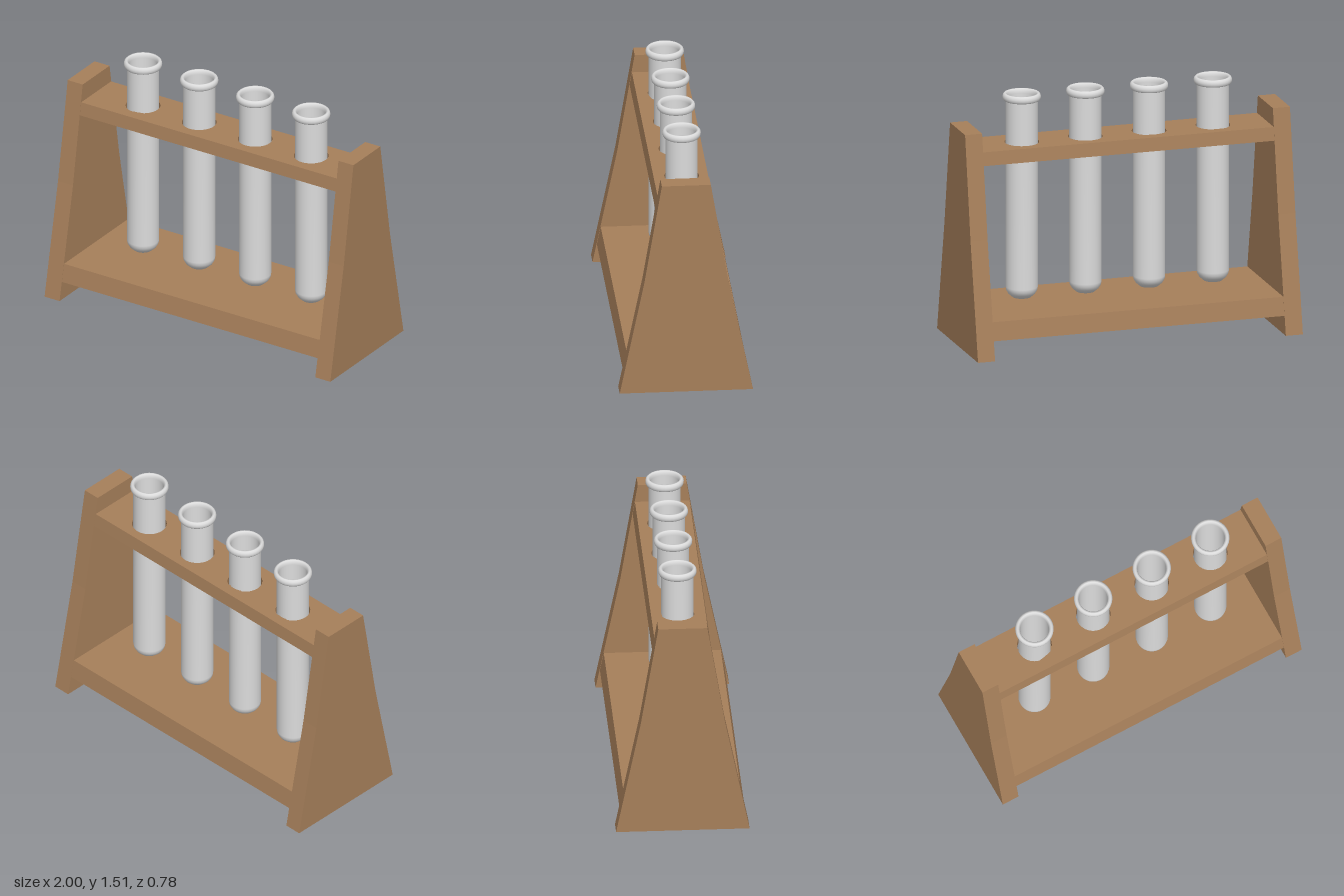
import * as THREE from 'three';

const wood = new THREE.MeshStandardMaterial({ color: 0xa67f5a });
wood.name = 'wood';
const glass = new THREE.MeshStandardMaterial({ color: 0xdcdcdc });
glass.name = 'pale glass';

const TUBE_X = [-0.57, -0.177, 0.215, 0.607];
const TUBE_Z = -0.005;

// Half depth of the rack at a given height
function halfDepth(y) {
  return y < 0.7 ? 0.392 - (0.144 * y) / 0.7 : 0.248 - (0.104 * (y - 0.7)) / 0.62;
}

// Tapered end panel
function endPanel(x0, x1) {
  const ys = [0, 0.7, 1.32];
  const points = [
    ...ys.map((y) => new THREE.Vector2(-halfDepth(y), y)),
    ...ys.slice().reverse().map((y) => new THREE.Vector2(halfDepth(y), y)),
  ];
  const geo = new THREE.ExtrudeGeometry(new THREE.Shape(points), { depth: x1 - x0, bevelEnabled: false });
  geo.rotateY(Math.PI / 2).translate(x0, 0, 0);
  return new THREE.Mesh(geo, wood);
}

// Horizontal board whose long edges follow the slope of the end panels
function board(y0, y1, holes) {
  const w = 0.895;
  const shape = new THREE.Shape([[-w, -1], [w, -1], [w, 1], [-w, 1]].map((p) => new THREE.Vector2(...p)));
  const depth = y1 - y0;
  for (const x of holes) {
    shape.holes.push(new THREE.Path().absarc(x, -TUBE_Z, 0.102, 0, Math.PI * 2, true));
  }
  const geo = new THREE.ExtrudeGeometry(shape, { depth, bevelEnabled: false, curveSegments: 20 });
  geo.rotateX(-Math.PI / 2).translate(0, y0, 0);
  const p = geo.attributes.position;
  for (let i = 0; i < p.count; i++) {
    const z = p.getZ(i);
    if (Math.abs(z) > 0.9) p.setZ(i, Math.sign(z) * (halfDepth(p.getY(i)) - 0.002));
  }
  geo.computeVertexNormals();
  return new THREE.Mesh(geo, wood);
}

// Hollow tube with a rounded foot and a rolled lip
function tubeGeometry() {
  const profile = [
    [0, 0.265], [0.055, 0.267], [0.08, 0.289], [0.092, 0.31], [0.095, 0.33],
    [0.095, 1.464], [0.106, 1.466], [0.112, 1.476], [0.113, 1.488], [0.11, 1.5],
    [0.102, 1.508], [0.094, 1.508], [0.087, 1.498], [0.084, 1.48],
    [0.084, 0.335], [0.074, 0.302], [0.05, 0.28], [0, 0.277],
  ].map((p) => new THREE.Vector2(...p));
  return new THREE.LatheGeometry(profile, 32);
}

export function createModel() {
  const model = new THREE.Group();
  model.name = 'testTubeRack';
  const add = (name, mesh) => {
    mesh.name = name;
    model.add(mesh);
    return mesh;
  };

  add('leftEndPanel', endPanel(0.895, 1));
  add('rightEndPanel', endPanel(-1, -0.895));
  add('topShelf', board(1.13, 1.21, TUBE_X));
  add('bottomShelf', board(0.115, 0.225, []));

  const geo = tubeGeometry();
  TUBE_X.forEach((x, i) => {
    add(`testTube${i + 1}`, new THREE.Mesh(geo, glass)).position.set(x, 0, TUBE_Z);
  });
  return model;
}
